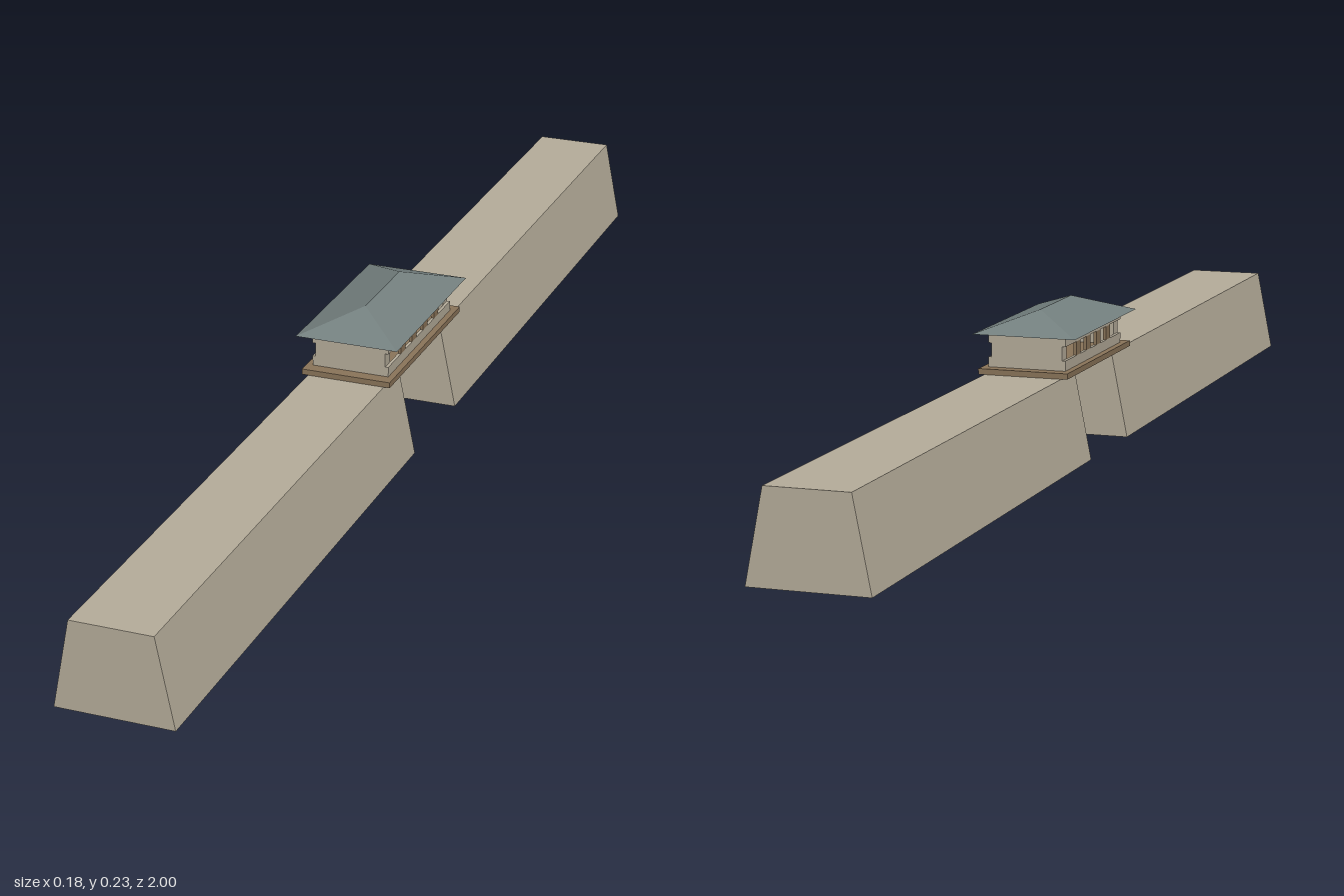
import * as THREE from 'three';

const flat = (name, color) => {
  const m = new THREE.MeshStandardMaterial({ color });
  m.name = name;
  return m;
};

// Box whose top face is resized to tw x td
function taperedBox(w, h, d, tw, td) {
  const g = new THREE.BoxGeometry(w, h, d);
  const p = g.attributes.position;
  for (let i = 0; i < p.count; i++) {
    if (p.getY(i) > 0) p.setXYZ(i, Math.sign(p.getX(i)) * tw / 2, h / 2, Math.sign(p.getZ(i)) * td / 2);
  }
  const out = g.toNonIndexed();
  out.computeVertexNormals();
  return out;
}

// Hipped roof: rectangular eaves rising to a ridge along z
function hipRoof(hx, hz, h, ridge) {
  const A = [-hx, 0, hz], B = [hx, 0, hz], C = [hx, 0, -hz], D = [-hx, 0, -hz];
  const F = [0, h, ridge], K = [0, h, -ridge];
  const tris = [A, B, F, C, D, K, B, C, K, B, K, F, D, A, F, D, F, K, A, D, C, A, C, B];
  const g = new THREE.BufferGeometry();
  g.setAttribute('position', new THREE.Float32BufferAttribute(tris.flat(), 3));
  g.computeVertexNormals();
  return g;
}

export function createModel() {
  const stone = flat('stone', 0xb5ac9a);
  const wood = flat('wood', 0x8a7459);
  const tile = flat('roofTile', 0x74807f);
  const model = new THREE.Group();

  const add = (name, geo, mat, x, y, z) => {
    const m = new THREE.Mesh(geo, mat);
    m.name = name;
    m.position.set(x, y, z);
    model.add(m);
  };
  const box = (name, mat, w, y0, y1, d, x, z) =>
    add(name, new THREE.BoxGeometry(w, y1 - y0, d), mat, x, (y0 + y1) / 2, z);

  // Two battered wall sections with a gateway between them
  const gap = 0.093, len = 1 - gap;
  for (const s of [1, -1]) {
    add(s > 0 ? 'frontWall' : 'backWall', taperedBox(0.18, 0.138, len, 0.126, len), stone, 0, 0.069, s * (gap + len / 2));
  }

  // Deck bridging the gateway
  box('deck', wood, 0.146, 0.138, 0.147, 0.32, 0, 0);

  // Gatehouse: end walls, then side walls with a row of openings
  for (const s of [1, -1]) {
    box('endWall', stone, 0.116, 0.147, 0.2, 0.02, 0, s * 0.13);
    box('sideSill', stone, 0.005, 0.147, 0.163, 0.28, s * 0.0605, 0);
    box('sideLintel', stone, 0.005, 0.185, 0.2, 0.28, s * 0.0605, 0);
    for (const z of [-0.075, -0.025, 0.025, 0.075]) {
      box('windowPost', wood, 0.005, 0.163, 0.185, 0.02, s * 0.0605, z);
    }
  }

  add('roof', hipRoof(0.084, 0.158, 0.031, 0.075), tile, 0, 0.2, 0);
  return model;
}
